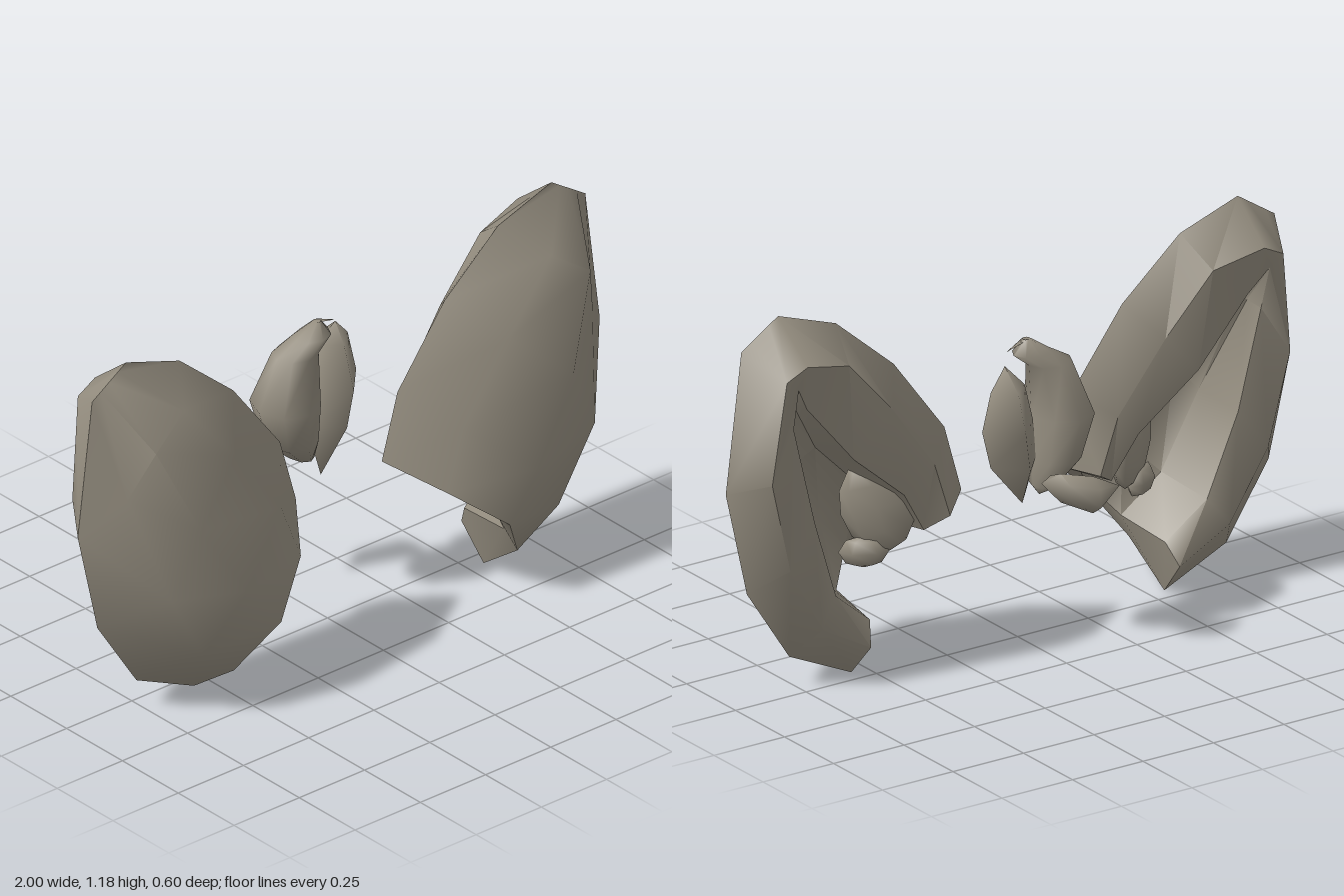
import * as THREE from 'three';
import { toCreasedNormals } from 'three/addons/utils/BufferGeometryUtils.js';

const skin = new THREE.MeshStandardMaterial({ color: 0x958e80 });
skin.name = 'taupe';

// Joins closed rings of equal size; caps are lists of [ring, point] corners.
function loft(rings, caps, crease, mirror = false) {
  const n = rings[0].length, pos = [], index = [];
  rings.forEach(r => r.forEach(p => pos.push(mirror ? -p[0] : p[0], p[1], p[2])));
  const at = i => new THREE.Vector3().fromArray(pos, i * 3);
  const tri = (a, b, c) => {
    const area = at(b).sub(at(a)).cross(at(c).sub(at(a))).length();
    if (area > 1e-7) index.push(a, ...(mirror ? [c, b] : [b, c]));
  };
  for (let i = 0; i < rings.length - 1; i++) {
    for (let k = 0; k < n; k++) {
      const a = i * n + k, b = i * n + (k + 1) % n;
      tri(a, a + n, b);
      tri(b, a + n, b + n);
    }
  }
  for (const c of caps) {
    const v = c.map(([r, k]) => r * n + k);
    for (let j = 1; j < v.length - 1; j++) tri(v[0], v[j], v[j + 1]);
  }
  const g = new THREE.BufferGeometry();
  g.setAttribute('position', new THREE.Float32BufferAttribute(pos, 3));
  g.setIndex(index);
  return toCreasedNormals(g, crease);
}

function add(parent, name, geometry) {
  const m = new THREE.Mesh(geometry, skin);
  m.name = name;
  parent.add(m);
  return m;
}

// Ear shell: arched sections from the cut root to the tip, hollow at the back.
// a, b: outline ends; front: [fraction a to b, z, shift to the tip];
// rim: [inset, z, shift]; hollow: [start, end, depth z, shift, lip z]
const sections = [
  { a: [0.555, 0.005], b: [0.165, 0.49], front: [[0.16, 0.215, 0.065], [0.47, 0.305, 0.085], [0.78, 0.21, 0.04]],
    rim: [0.14, -0.04, 0.06], hollow: [0.25, 0.74, 0.265, 0.085, 0] },
  { a: [0.775, 0.105], b: [0.225, 0.70], front: [[0.2, 0.24, 0.02], [0.48, 0.295, 0.06], [0.8, 0.2, 0.02]],
    rim: [0.14, -0.045, 0.03], hollow: [0.27, 0.71, 0.24, 0.04, -0.02] },
  { a: [0.925, 0.335], b: [0.405, 0.94], front: [[0.22, 0.25, 0], [0.5, 0.27, 0.06], [0.8, 0.2, 0.02]],
    rim: [0.15, -0.06, 0], hollow: [0.35, 0.62, 0.18, 0.01, -0.045] },
  { a: [1.0, 0.665], b: [0.61, 1.115], front: [[0.28, 0.145, 0], [0.55, 0.205, 0.06], [0.8, 0.18, 0.02]],
    rim: [0.15, -0.07, -0.03], hollow: [0.44, 0.56, 0.02, 0, -0.05] },
];

function earRing({ a, b, front, rim, hollow }) {
  const point = (t, z, s = 0) => [
    a[0] + (b[0] - a[0]) * t + 0.78 * s, a[1] + (b[1] - a[1]) * t + 0.63 * s, z];
  const [start, end, depth, shift, lip] = hollow;
  const inner = (f, z) => point(start + (end - start) * f, z, shift);
  return [
    point(0, 0.05), ...front.map(p => point(...p)), point(1, 0.05),
    point(1 - rim[0], rim[1], rim[2]),
    inner(1, lip), inner(0.9, depth * 0.75), inner(0.5, depth), inner(0.1, depth * 0.75), inner(0, lip),
    point(...rim),
  ];
}

function earShell(mirror) {
  const rings = sections.map(earRing);
  const pit = [0.835, 1.0, -0.085];
  const tipEdge = [0, 0.25, 0.5, 0.75, 1].map(t => [0.945 - 0.13 * t, 1.10 + 0.085 * t, 0.05]);
  rings.push([...tipEdge, [0.81, 1.07, -0.095], pit, pit, pit, pit, pit, [0.88, 1.035, -0.09]]);
  const root = [[0, 1, 9, 10], [1, 2, 8, 9], [2, 3, 7, 8], [3, 4, 6, 7], [4, 5, 6], [0, 10, 11]];
  const tip = [[11, 5, 4, 3, 2, 1, 0], [11, 6, 5]];
  const caps = [...root.map(c => c.map(k => [0, k])), ...tip.map(c => c.map(k => [4, k]))];
  return loft(rings, caps, 1.0, mirror);
}

// Pointed pod: rows are centre x, y, z and two radii across the chosen axis.
function pod(rows, sides, alongX = false) {
  return loft(rows.map(([x, y, z, u, v]) => Array.from({ length: sides }, (_, k) => {
    const a = k / sides * Math.PI * 2, c = u * Math.cos(a), s = v * Math.sin(a);
    return alongX ? [x, y + c, z + s] : [x + c, y, z + s];
  })), [], 1.7);
}

export function createModel() {
  const model = new THREE.Group();
  model.name = 'earsAndTuft';

  for (const side of [1, -1]) {
    const ear = new THREE.Group();
    ear.name = side > 0 ? 'leftEar' : 'rightEar';
    model.add(ear);
    add(ear, 'earShell', earShell(side < 0));
    // Small flap standing in the hollow, with a lobe beneath it
    const flap = add(ear, 'innerFlap', new THREE.SphereGeometry(1, 8, 6));
    flap.scale.set(0.11, 0.15, 0.04);
    flap.position.set(side * 0.45, 0.5, 0.07);
    flap.rotation.set(0, -side * 0.5, -side * 0.25);
    const lobe = add(ear, 'innerLobe', new THREE.SphereGeometry(1, 6, 4));
    lobe.scale.set(0.075, 0.05, 0.035);
    lobe.position.set(side * 0.49, 0.36, 0.08);
    lobe.rotation.y = -side * 0.5;
  }

  // Tuft between the ears
  const tuft = new THREE.Group();
  tuft.name = 'tuft';
  model.add(tuft);
  add(tuft, 'largeCurl', pod([
    [0.0, 0.49, -0.11, 0, 0],
    [-0.02, 0.515, -0.1, 0.035, 0.05],
    [-0.065, 0.59, -0.09, 0.08, 0.085],
    [-0.09, 0.725, -0.085, 0.1, 0.11],
    [-0.06, 0.885, -0.075, 0.072, 0.065],
    [0.0, 0.925, -0.07, 0.062, 0.05],
    [0.015, 0.968, -0.065, 0.012, 0.012],
    [0.09, 0.942, -0.07, 0, 0],
  ], 8));
  add(tuft, 'leafCurl', pod([
    [0.025, 0.45, -0.06, 0, 0],
    [0.085, 0.605, -0.1, 0.08, 0.088],
    [0.105, 0.725, -0.1, 0.09, 0.095],
    [0.115, 0.85, -0.115, 0.06, 0.055],
    [0.115, 0.915, -0.1, 0, 0],
  ], 4));
  add(tuft, 'backCurl', pod([
    [0.02, 0.54, -0.15, 0, 0],
    [0.0, 0.545, -0.22, 0.045, 0.06],
    [-0.09, 0.515, -0.255, 0.058, 0.048],
    [-0.195, 0.515, -0.24, 0, 0],
  ], 6, true));

  return model;
}
